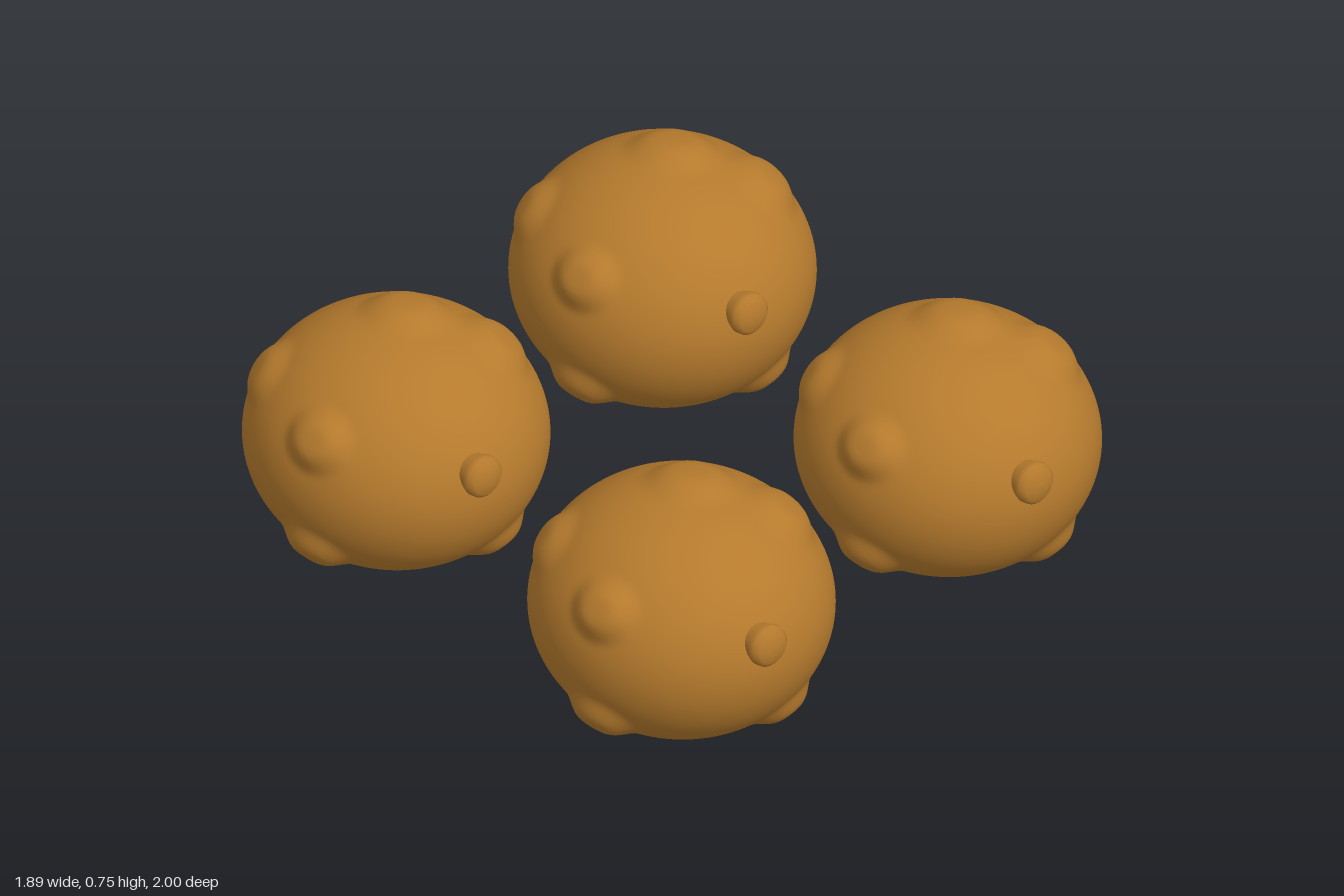
import * as THREE from 'three';
import { mergeVertices } from 'three/addons/utils/BufferGeometryUtils.js';

// Low bumps on the skin: direction, angular radius, height
const BUMPS = [
  [[0.2, 0.95, -0.1], 0.36, 0.028],
  [[-0.87, 0.52, 0.12], 0.28, 0.035],
  [[0.55, 0.72, 0.38], 0.34, 0.03],
  [[0.75, 0.27, -0.7], 0.28, 0.035],
  [[-0.15, -0.27, -0.95], 0.3, 0.03],
  [[0.22, -0.68, 0.7], 0.3, 0.035],
  [[0.77, -0.62, -0.2], 0.32, 0.04],
  [[-0.83, -0.52, 0.08], 0.3, 0.035],
  [[-0.55, 0.52, -0.65], 0.3, 0.025],
].map(([d, size, height]) => ({ dir: new THREE.Vector3(...d).normalize(), size, height }));

// Squashed ball with each vertex pushed outward near a bump
function lumpyBall() {
  let geo = new THREE.IcosahedronGeometry(1, 28);
  geo.deleteAttribute('uv');
  geo.deleteAttribute('normal');
  geo = mergeVertices(geo, 1e-5);
  const pos = geo.attributes.position;
  const dir = new THREE.Vector3();
  const point = new THREE.Vector3();
  for (let i = 0; i < pos.count; i++) {
    dir.fromBufferAttribute(pos, i).normalize();
    point.copy(dir).multiply(new THREE.Vector3(0.423, 0.36, 0.428));
    for (const { dir: centre, size, height } of BUMPS) {
      const t = dir.angleTo(centre) / size;
      point.addScaledVector(dir, height * (1 - THREE.MathUtils.smoothstep(t, 0.3, 1)));
    }
    pos.setXYZ(i, point.x, point.y, point.z);
  }
  geo.computeVertexNormals();
  return geo;
}

// Small rounded stub, its axis along +y
function stubGeometry() {
  const profile = [[0.05, -0.06], [0.054, -0.01], [0.062, 0.012], [0.06, 0.03], [0.047, 0.043], [0.02, 0.049], [0, 0.05]]
    .map(([r, y]) => new THREE.Vector2(r, y));
  return new THREE.LatheGeometry(profile, 32);
}

export function createModel() {
  const model = new THREE.Group();
  model.name = 'lumpyTubers';
  const skin = new THREE.MeshStandardMaterial({ color: 0xb57a2d });
  skin.name = 'golden brown skin';
  const bodyGeo = lumpyBall();
  const stubGeo = stubGeometry();

  // Four equal pieces in a square
  for (const x of [-0.523, 0.523]) {
    for (const z of [-0.555, 0.55]) {
      const tuber = new THREE.Group();
      tuber.name = 'tuber';
      const body = new THREE.Mesh(bodyGeo, skin);
      body.name = 'body';
      const stub = new THREE.Mesh(stubGeo, skin);
      stub.name = 'stemStub';
      stub.position.set(-0.085, 0.11, 0.4);
      stub.rotation.set(Math.PI / 2 - 0.12, 0, 0.1);
      tuber.add(body, stub);
      tuber.position.set(x, 0.363, z);
      model.add(tuber);
    }
  }
  return model;
}
